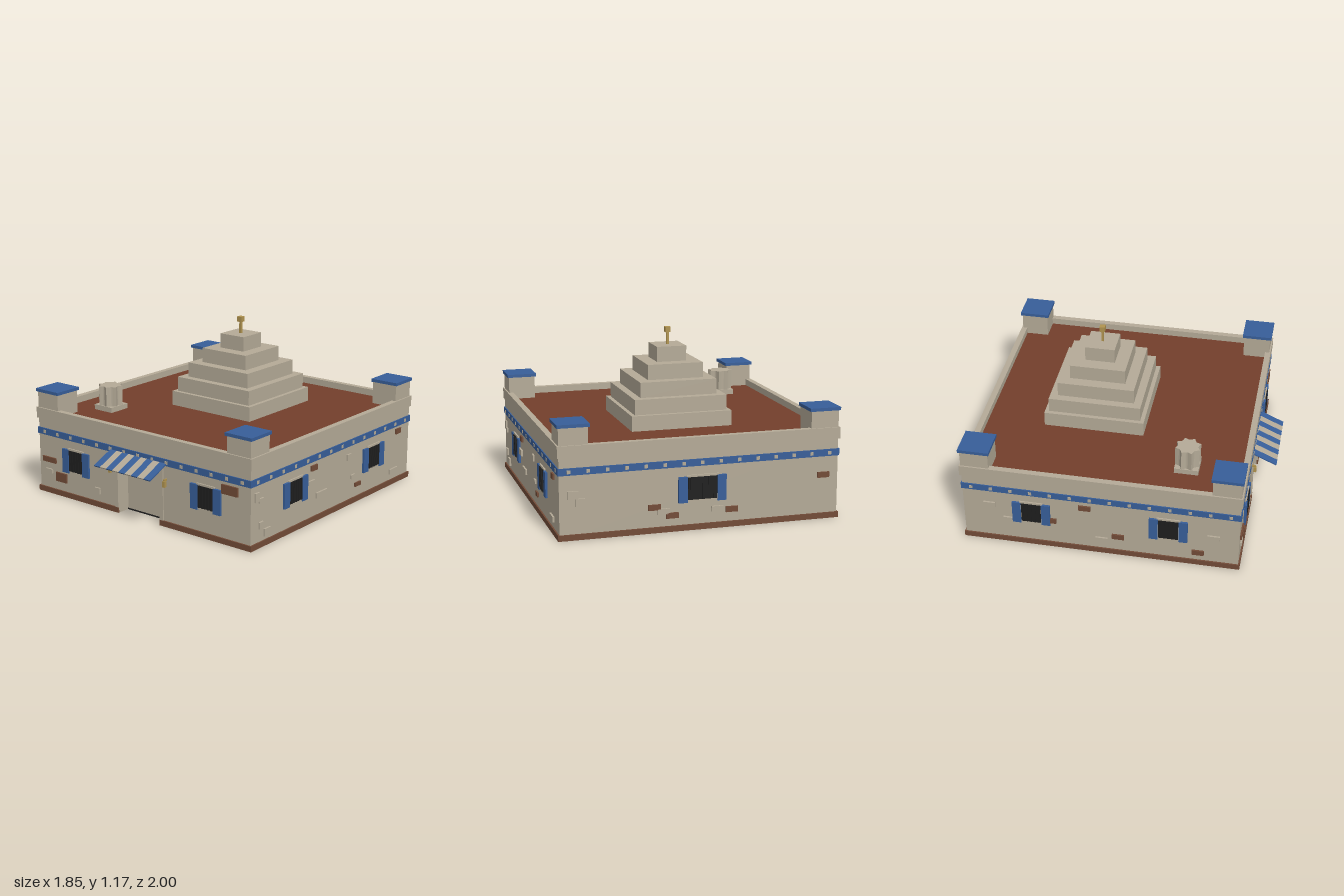
import * as THREE from 'three';

const mat = (name, color) => {
  const m = new THREE.MeshStandardMaterial({ color });
  m.name = name;
  return m;
};

export function createModel() {
  const stone = mat('sandstone', 0xb4aa97);
  const blue = mat('blue paint', 0x375e99);
  const roofMat = mat('roof clay', 0x733f2c);
  const brick = mat('brick', 0x724b37);
  const gold = mat('brass', 0xb0934f);
  const dark = mat('dark glass', 0x1e1e1e);

  const root = new THREE.Group();
  root.name = 'townHouse';
  const building = new THREE.Group();
  building.name = 'building';
  building.position.z = -0.075;
  root.add(building);

  const add = (parent, name, geo, material) => {
    const m = new THREE.Mesh(geo, material);
    m.name = name;
    parent.add(m);
    return m;
  };
  // Box given by its limits on each axis
  const box = (parent, name, material, x0, x1, y0, y1, z0, z1) => {
    const m = add(parent, name, new THREE.BoxGeometry(x1 - x0, y1 - y0, z1 - z0), material);
    m.position.set((x0 + x1) / 2, (y0 + y1) / 2, (z0 + z1) / 2);
  };
  const extrude = (shape, depth) => new THREE.ExtrudeGeometry(shape, { depth, bevelEnabled: false });
  const square = (h) => [[-h, -h], [h, -h], [h, h], [-h, h]].map(([x, y]) => new THREE.Vector2(x, y));

  // Main block, with a front slab that has the doorway cut out
  const W = 0.91, D = 0.18, doorTop = 0.37, recess = 0.09;
  box(building, 'mainBlock', stone, -W, W, 0, 0.52, -W, W - recess);
  const wall = new THREE.Shape([
    [-W, 0], [-D, 0], [-D, doorTop], [D, doorTop], [D, 0], [W, 0], [W, 0.52], [-W, 0.52],
  ].map(([x, y]) => new THREE.Vector2(x, y)));
  add(building, 'frontWall', extrude(wall, recess), stone).position.z = W - recess;

  // Plinth strips around the foot, open at the door, and the door surround
  const P = 0.92, ph = 0.037;
  box(building, 'plinthBack', brick, -P, P, 0, ph, -P, -W);
  for (const s of [-1, 1]) {
    const strip = (name, m, a, b, ...rest) => box(building, name, m, Math.min(s * a, s * b), Math.max(s * a, s * b), ...rest);
    strip('plinthSide', brick, W, P, 0, ph, -W, W);
    strip('plinthFront', brick, D, P, 0, ph, W, P);
    strip('doorJamb', stone, D, 0.21, ph, 0.4, W, W + 0.008);
  }
  box(building, 'doorLintel', stone, -D, D, doorTop, 0.4, W, W + 0.008);
  box(building, 'threshold', dark, -D, D, 0, 0.008, W - recess, W - recess + 0.006);

  // Painted band, roof and parapet
  box(building, 'paintedBand', blue, -0.917, 0.917, 0.41, 0.455, -0.917, 0.917);
  box(building, 'roof', roofMat, -0.88, 0.88, 0.52, 0.55, -0.88, 0.88);
  const ring = new THREE.Shape(square(P));
  ring.holes.push(new THREE.Path(square(0.88).reverse()));
  const parapet = add(building, 'parapet', extrude(ring, 0.075), stone);
  parapet.rotation.x = -Math.PI / 2;
  parapet.position.y = 0.52;

  // Corner turrets with blue caps
  for (const sx of [-1, 1]) for (const sz of [-1, 1]) {
    const t = new THREE.Group();
    t.name = 'cornerTurret';
    t.position.set(sx * 0.8175, 0, sz * 0.8175);
    building.add(t);
    box(t, 'turretBlock', stone, -0.0925, 0.0925, 0.55, 0.705, -0.0925, 0.0925);
    box(t, 'turretCap', blue, -0.1025, 0.1025, 0.705, 0.726, -0.1025, 0.1025);
  }

  // Barred window with a shutter on each side
  const addWindow = (g, u, glassW) => {
    const h = glassW / 2;
    box(g, 'windowFrame', stone, u - h - 0.012, u + h + 0.012, 0.185, 0.355, 0, 0.01);
    box(g, 'windowGlass', dark, u - h, u + h, 0.197, 0.342, 0, 0.013);
    for (let i = -2; i <= 2; i++) {
      const x = u + i * glassW / 5;
      box(g, 'windowBar', dark, x - 0.004, x + 0.004, 0.197, 0.342, 0.01, 0.017);
    }
    for (const s of [-1, 1]) {
      const c = u + s * (h + 0.032);
      box(g, 'shutter', blue, c - 0.029, c + 0.029, 0.18, 0.346, 0, 0.015);
    }
  };
  // Details of one wall; u runs right as seen from outside, bricks are [u, y, width, height]
  const addWall = (name, turn, tiles, glassW, windows, plainBricks, redBricks) => {
    const face = new THREE.Group();
    face.name = name;
    face.rotation.y = turn * Math.PI / 2;
    face.position.set(Math.sin(face.rotation.y) * W, 0, Math.cos(face.rotation.y) * W);
    building.add(face);
    for (const u of windows) addWindow(face, u, glassW);
    const lay = (bricks, m) => {
      for (const [u, y, w = 0.08, h = 0.036] of bricks)
        box(face, 'wallBrick', m, u - w / 2, u + w / 2, y - h / 2, y + h / 2, 0, 0.012);
    };
    lay(plainBricks, stone);
    lay(redBricks, brick);
    for (let i = 0; i < tiles; i++) {
      const u = -0.85 + 1.7 * i / (tiles - 1);
      box(face, 'bandTile', stone, u - 0.011, u + 0.011, 0.421, 0.443, 0, 0.01);
    }
  };
  addWall('frontDetails', 0, 15, 0.12, [-0.562, 0.562],
    [[-0.82, 0.158, 0.06, 0.03], [-0.367, 0.112, 0.045, 0.043]],
    [[-0.814, 0.239, 0.123], [-0.704, 0.132, 0.098, 0.063], [0.752, 0.36, 0.125, 0.06]]);
  addWall('rightDetails', 1, 14, 0.13, [-0.455, 0.45],
    [[-0.854, 0.335, 0.042, 0.059], [-0.812, 0.305, 0.043, 0.03], [-0.812, 0.145, 0.043, 0.043],
      [-0.748, 0.085, 0.065, 0.05], [-0.288, 0.268, 0.085, 0.043], [-0.164, 0.171, 0.123],
      [0.15, 0.337, 0.043, 0.042], [0.198, 0.19, 0.045, 0.027], [0.717, 0.096, 0.097]],
    [[-0.252, 0.369, 0.066], [0.263, 0.121, 0.065, 0.027], [0.764, 0.374, 0.063]]);
  addWall('backDetails', 2, 15, 0.19, [0],
    [[-0.825, 0.285, 0.07, 0.05], [-0.78, 0.235, 0.06, 0.05], [-0.25, 0.135], [0.1, 0.125]],
    [[-0.31, 0.165], [-0.195, 0.105], [0.195, 0.115], [0.81, 0.29]]);
  addWall('leftDetails', 3, 14, 0.13, [-0.455, 0.45],
    [[-0.735, 0.3], [-0.605, 0.19], [0.01, 0.11], [0.745, 0.24]],
    [[-0.33, 0.22], [-0.1, 0.36], [0.12, 0.15], [0.645, 0.1]]);

  // Striped sloping awning over the door
  const awning = new THREE.Group();
  awning.name = 'awning';
  awning.position.set(0, 0.427, 0.842);
  awning.rotation.x = Math.atan2(0.07, 0.155);
  root.add(awning);
  const sw = 0.482 / 9;
  for (let i = 0; i < 9; i++) {
    const x = -0.241 + i * sw;
    box(awning, 'awningStripe', i % 2 ? stone : blue, x, x + sw, -0.008, 0, 0, 0.172);
  }

  // Door lanterns
  for (const s of [-1, 1]) {
    const l = new THREE.Group();
    l.name = 'lantern';
    l.position.set(s * 0.235, 0, 0.85);
    root.add(l);
    box(l, 'lanternBody', gold, -0.01, 0.01, 0.273, 0.312, -0.004, 0.016);
    box(l, 'lanternBracket', gold, -0.005, 0.005, 0.312, 0.325, -0.015, 0.01);
  }

  // Stepped pyramid tower with finial
  const tower = new THREE.Group();
  tower.name = 'steppedTower';
  tower.position.z = -0.23;
  root.add(tower);
  [0.337, 0.31, 0.258, 0.187, 0.1].forEach((h, i) => {
    const y = 0.55 + i * 0.1;
    box(tower, 'towerTier', stone, -h, h, y, y + 0.1, -h, h);
  });
  box(tower, 'finialRod', gold, -0.008, 0.008, 1.05, 1.13, -0.008, 0.008);
  box(tower, 'finialBlock', gold, -0.018, 0.018, 1.13, 1.166, -0.018, 0.018);

  // Fluted column stub on a square foot
  const stub = new THREE.Group();
  stub.name = 'columnStub';
  stub.position.set(-0.602, 0, 0.447);
  root.add(stub);
  box(stub, 'columnFoot', stone, -0.079, 0.079, 0.55, 0.585, -0.079, 0.079);
  const pts = [];
  for (let i = 0; i < 48; i++) {
    const a = i / 48 * Math.PI * 2 + Math.PI / 8;
    const r = 0.086 - 0.02 * Math.sin((i % 6) / 6 * Math.PI);
    pts.push(new THREE.Vector2(Math.cos(a) * r, Math.sin(a) * r));
  }
  const drum = add(stub, 'flutedDrum', extrude(new THREE.Shape(pts), 0.135), stone);
  drum.rotation.x = -Math.PI / 2;
  drum.position.y = 0.585;

  return root;
}
